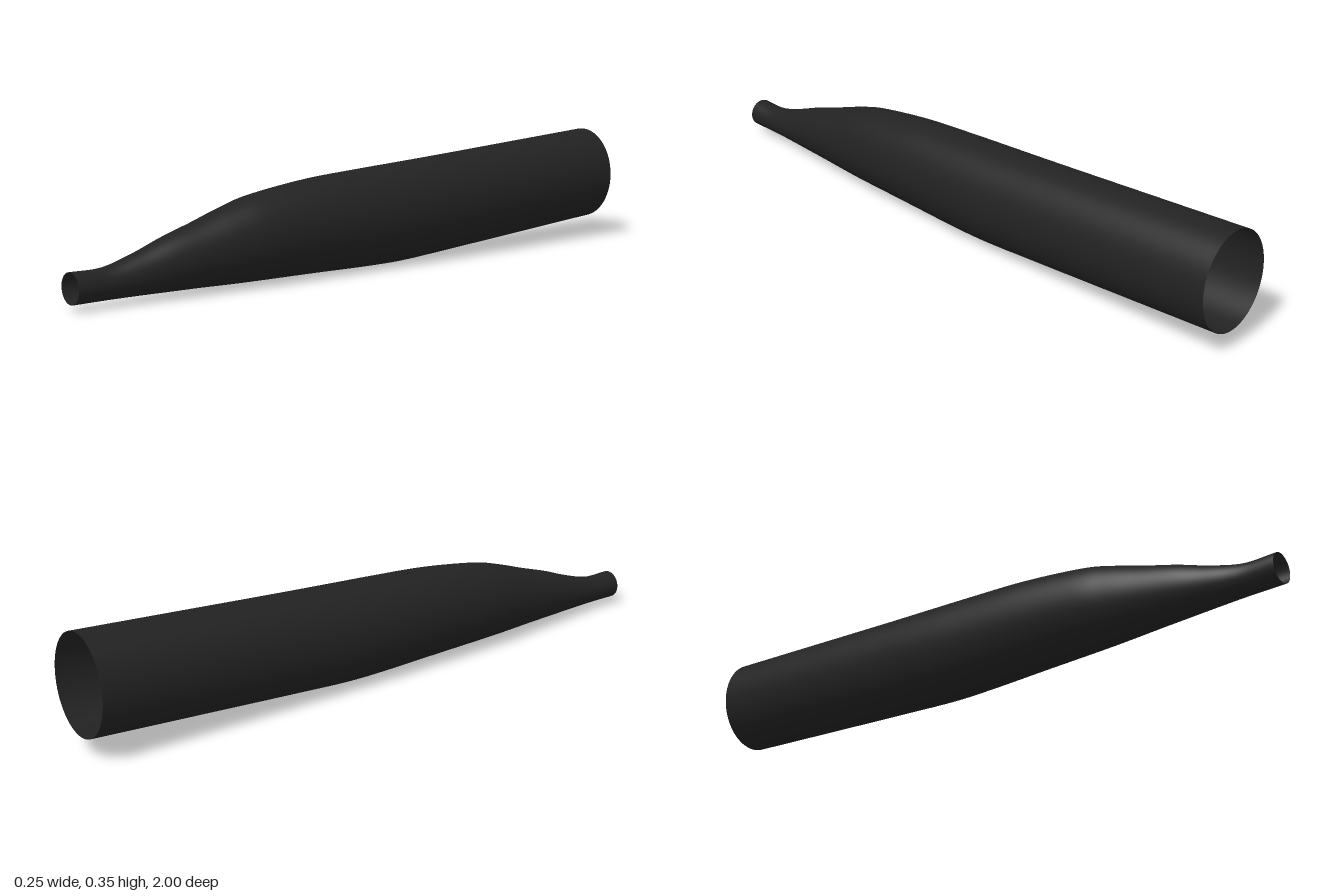
import * as THREE from 'three';

// Cross-sections from the narrow front to the wide back: z, bottom, top, half width
const SECTIONS = [
  [1, 0.018, 0.104, 0.042],
  [0.9, 0.018, 0.105, 0.042],
  [0.8, 0.017, 0.131, 0.053],
  [0.7, 0.015, 0.166, 0.067],
  [0.6, 0.013, 0.196, 0.08],
  [0.5, 0.01, 0.228, 0.093],
  [0.4, 0.008, 0.253, 0.104],
  [0.2, 0.005, 0.279, 0.114],
  [0, 0.001, 0.292, 0.12],
  [-0.15, 0.002, 0.3, 0.123],
  [-0.35, 0.014, 0.311, 0.123],
  [-0.7, 0.037, 0.332, 0.123],
  [-1, 0.057, 0.35, 0.123],
];
const SIDES = 64;
const RINGS = 96;

// Smooth curve through one column of the sections
function profile(column) {
  const points = SECTIONS.map((s) => new THREE.Vector3(s[column], 0, s[0]));
  return new THREE.CatmullRomCurve3(points, false, 'catmullrom', 0.5);
}

// Open elliptical tube lofted through the sections
function loftTube() {
  const bottom = profile(1), top = profile(2), width = profile(3);
  const positions = [], indices = [];
  for (let i = 0; i <= RINGS; i++) {
    const t = i / RINGS;
    const low = bottom.getPoint(t), high = top.getPoint(t).x, half = width.getPoint(t).x;
    const centre = (low.x + high) / 2, radius = (high - low.x) / 2;
    for (let j = 0; j < SIDES; j++) {
      const a = (j / SIDES) * Math.PI * 2;
      positions.push(half * Math.cos(a), centre + radius * Math.sin(a), low.z);
      if (i === RINGS) continue;
      const p = i * SIDES + j, q = i * SIDES + ((j + 1) % SIDES);
      indices.push(p, p + SIDES, q, q, p + SIDES, q + SIDES);
    }
  }
  const geometry = new THREE.BufferGeometry();
  geometry.setAttribute('position', new THREE.Float32BufferAttribute(positions, 3));
  geometry.setIndex(indices);
  geometry.computeVertexNormals();
  return geometry;
}

export function createModel() {
  const group = new THREE.Group();
  group.name = 'taperedTube';
  const black = new THREE.MeshStandardMaterial({ color: 0x222222, side: THREE.DoubleSide });
  black.name = 'matte black';
  const shell = new THREE.Mesh(loftTube(), black);
  shell.name = 'tubeShell';
  group.add(shell);
  return group;
}
